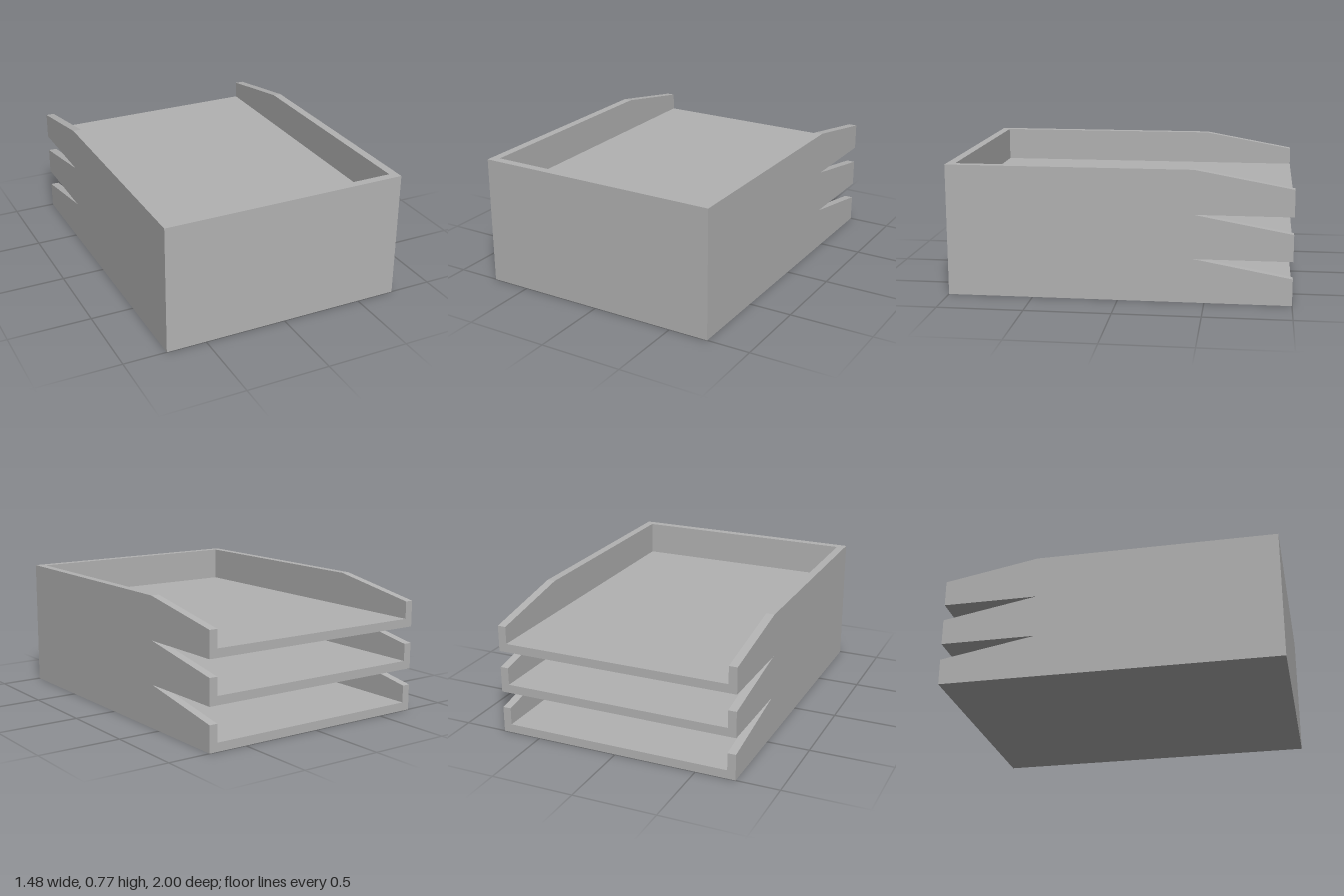
import * as THREE from 'three';

const WIDTH = 1.48, LENGTH = 2, WALL = 0.05, FLOOR = 0.052;
const PITCH = 0.258, LOW_END = 0.157, SLOPE_START = -0.435;

export function createModel() {
  const grey = new THREE.MeshStandardMaterial({ color: 0xb2b2b2 });
  grey.name = 'grey plastic';

  // Side wall: full height at the front, sloping down to the open back
  const profile = new THREE.Shape([
    [-1, 0], [1, 0], [1, LOW_END], [-SLOPE_START, PITCH], [-1, PITCH],
  ].map(([z, y]) => new THREE.Vector2(z, y)));
  const sideGeometry = new THREE.ExtrudeGeometry(profile, { depth: WALL, bevelEnabled: false });
  sideGeometry.rotateY(Math.PI / 2); // profile x becomes -z, depth becomes +x

  const inner = WIDTH - 2 * WALL;
  const floorGeometry = new THREE.BoxGeometry(inner, FLOOR, LENGTH);
  const frontGeometry = new THREE.BoxGeometry(inner, PITCH - FLOOR, WALL);

  function makeTray() {
    const tray = new THREE.Group();
    const add = (name, geometry, x, y, z) => {
      const mesh = new THREE.Mesh(geometry, grey);
      mesh.name = name;
      mesh.position.set(x, y, z);
      tray.add(mesh);
    };
    add('floor', floorGeometry, 0, FLOOR / 2, 0);
    add('frontWall', frontGeometry, 0, (PITCH + FLOOR) / 2, LENGTH / 2 - WALL / 2);
    add('leftWall', sideGeometry, WIDTH / 2 - WALL, 0, 0);
    add('rightWall', sideGeometry, -WIDTH / 2, 0, 0);
    return tray;
  }

  // Three identical trays stacked on each other
  const model = new THREE.Group();
  model.name = 'stackedTrays';
  ['bottomTray', 'middleTray', 'topTray'].forEach((name, i) => {
    const tray = makeTray();
    tray.name = name;
    tray.position.y = i * PITCH;
    model.add(tray);
  });
  return model;
}
